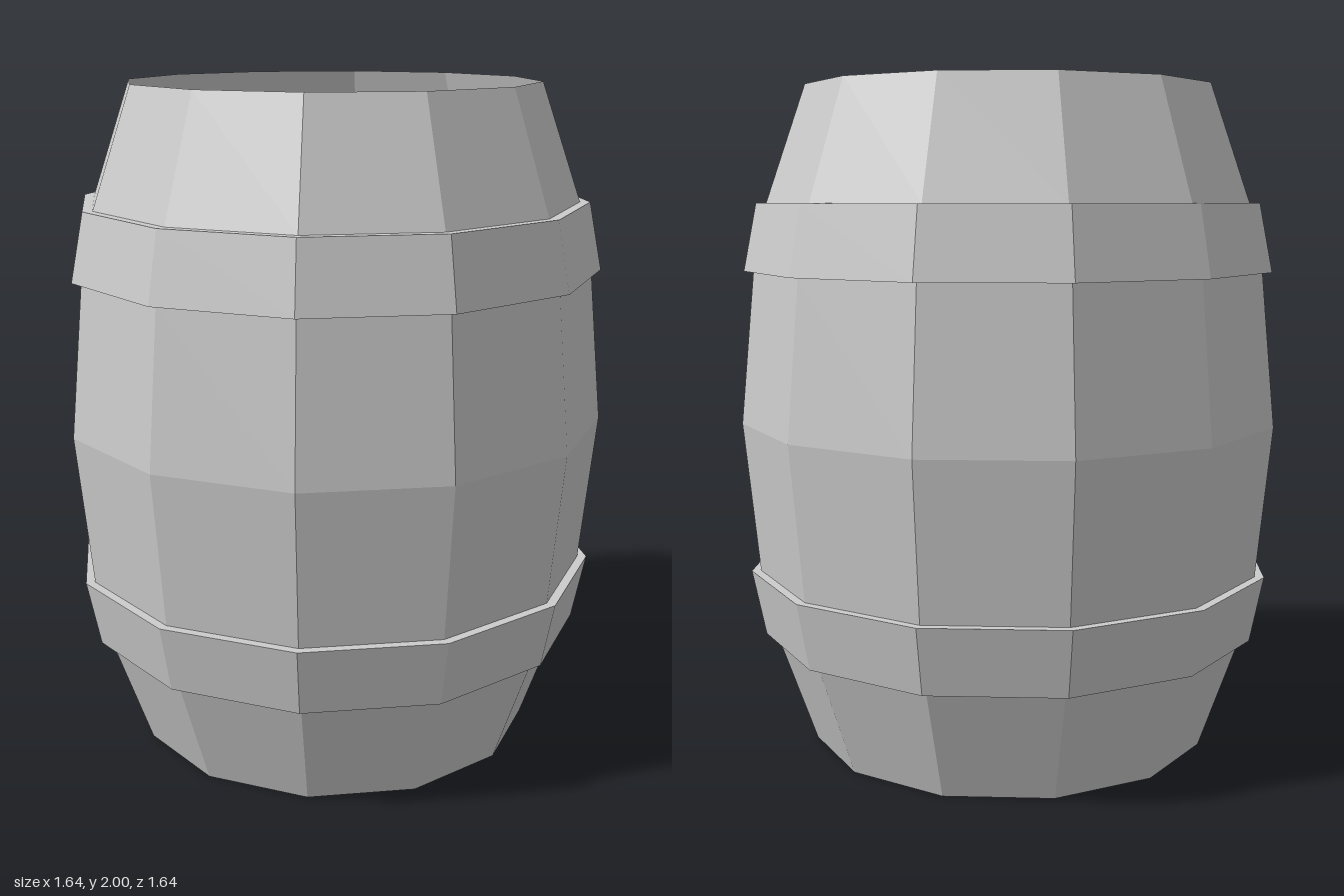
import * as THREE from 'three';

const SIDES = 12;

export function createModel() {
  const barrel = new THREE.Group();
  barrel.name = 'barrel';
  const material = new THREE.MeshStandardMaterial({
    color: 0xcccccc, flatShading: true, side: THREE.DoubleSide,
  });

  // Faceted ring from [radius, height] points, listed bottom to top
  function addBand(name, profile) {
    const points = profile.map(([r, y]) => new THREE.Vector2(r, y));
    const mesh = new THREE.Mesh(new THREE.LatheGeometry(points, SIDES), material);
    mesh.name = name;
    barrel.add(mesh);
  }

  // Open wall skin, bulging at the middle
  addBand('bottomStaves', [[0.612, 0], [0.732, 0.345]]);
  addBand('middleStaves', [[0.774, 0.545], [0.818, 1], [0.774, 1.455]]);
  addBand('topStaves', [[0.732, 1.655], [0.612, 2]]);

  // Raised hoops, hollow behind, each with a ledge above and below
  const hoop = [[0.732, 0.345], [0.762, 0.345], [0.802, 0.545], [0.774, 0.545]];
  addBand('bottomHoop', hoop);
  addBand('topHoop', hoop.map(([r, y]) => [r, 2 - y]).reverse());

  return barrel;
}
